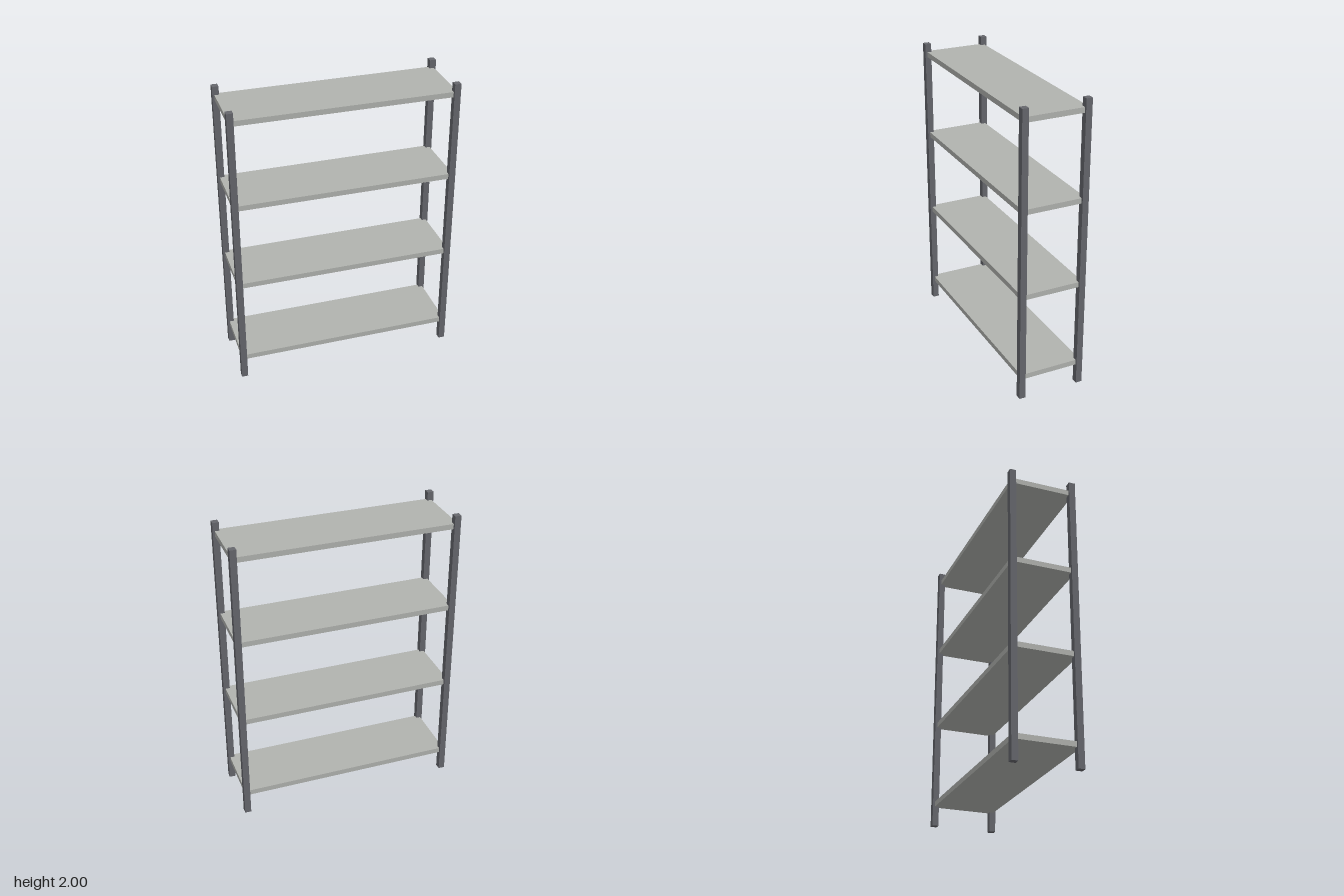
import * as THREE from 'three';

const POST = 0.043;          // square post side
const POST_X = 0.735;        // post centre lines
const POST_Z = 0.211;
const SHELF = { width: 1.486, height: 0.036, depth: 0.435 };
const SHELF_COUNT = 4;
const FIRST_SHELF_Y = 0.155;
const SHELF_SPACING = 0.59;

export function createModel() {
  const group = new THREE.Group();
  group.name = 'shelvingUnit';

  const postMaterial = new THREE.MeshStandardMaterial({ color: 0x66676d });
  const shelfMaterial = new THREE.MeshStandardMaterial({ color: 0xb1b3af });

  function addBox(name, geometry, material, x, y, z) {
    const mesh = new THREE.Mesh(geometry, material);
    mesh.name = name;
    mesh.position.set(x, y, z);
    group.add(mesh);
  }

  // Four corner posts, full height
  const postGeometry = new THREE.BoxGeometry(POST, 2, POST);
  for (const [side, sx] of [['Left', 1], ['Right', -1]]) {
    for (const [end, sz] of [['front', 1], ['back', -1]]) {
      addBox(`${end}${side}Post`, postGeometry, postMaterial, sx * POST_X, 1, sz * POST_Z);
    }
  }

  // Evenly spaced shelves, let into the posts
  const shelfGeometry = new THREE.BoxGeometry(SHELF.width, SHELF.height, SHELF.depth);
  for (let i = 0; i < SHELF_COUNT; i++) {
    addBox(`shelf${i + 1}`, shelfGeometry, shelfMaterial, 0, FIRST_SHELF_Y + i * SHELF_SPACING, 0);
  }

  return group;
}
